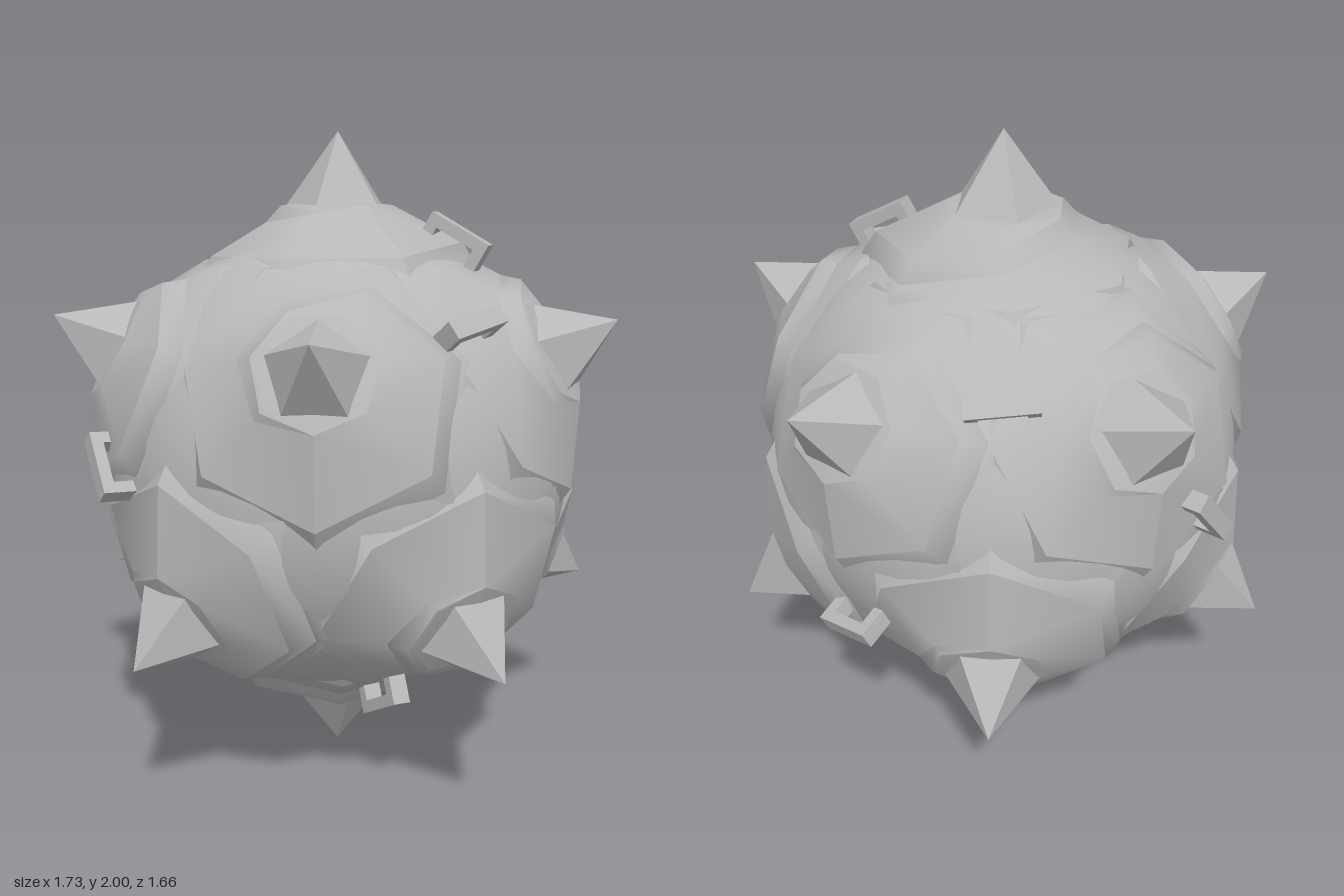
import * as THREE from 'three';

const V = (x, y, z) => new THREE.Vector3(x, y, z);
const SIDES = 7;

// Spiral edge over one turn: distance from the axis and from the ball's centre
const EDGE_R = [0.17, 0.18, 0.18, 0.19, 0.26, 0.34, 0.385, 0.395];
const EDGE_H = [0.80, 0.80, 0.80, 0.80, 0.797, 0.787, 0.775, 0.755];

// Smooth strip between two rows of points; flip reverses the facing
function strip(inner, outer, flip, material, name) {
  const pos = [], index = [];
  inner.forEach((p, i) => pos.push(...p.toArray(), ...outer[i].toArray()));
  for (let i = 0; i < inner.length - 1; i++) {
    const a = 2 * i, b = a + 1, c = a + 2, d = a + 3;
    if (flip) index.push(a, b, c, c, b, d);
    else index.push(a, c, b, c, d, b);
  }
  const g = new THREE.BufferGeometry();
  g.setAttribute('position', new THREE.Float32BufferAttribute(pos, 3));
  g.setIndex(index);
  g.computeVertexNormals();
  const m = new THREE.Mesh(g, material);
  m.name = name;
  return m;
}

// One spiral shell plate with its spike. sign -1 builds the opposite, mirrored one
function makeCap(axis, up, startAngle, tip, sign, material) {
  const cap = new THREE.Group();
  cap.name = 'spiralPlate';
  const right = up.clone().cross(axis);
  const point = (r, a, R) => V(0, 0, 0)
    .addScaledVector(right, r * Math.cos(a))
    .addScaledVector(up, r * Math.sin(a))
    .addScaledVector(axis, Math.sqrt(R * R - r * r))
    .multiplyScalar(sign);

  // Rows from the spike outwards: hub, ring, step edge, step foot, terrace edge, rim
  const hub = [], ring = [], edge = [], foot = [], outer = [], rim = [];
  for (let i = 0; i <= SIDES; i++) {
    const a = startAngle - (i / SIDES) * Math.PI * 2;
    const r = EDGE_R[i], R = EDGE_H[i], k = Math.min(1, i / 2);
    const r2 = Math.max(EDGE_R[SIDES], r + 0.08);
    hub.push(point(0, a, 0.80));
    ring.push(point(EDGE_R[0], a, EDGE_H[0]));
    edge.push(point(r, a, R));
    foot.push(point(r + 0.045 * k, a, R - 0.035 * k));
    outer.push(point(r2, a, EDGE_H[SIDES] - 0.01 * k - 0.2 * (r2 - EDGE_R[SIDES])));
    rim.push(point(r2 + 0.08, a, 0.69));
  }
  const flip = sign < 0;
  cap.add(strip(hub, ring, flip, material, 'plateCentre'));
  cap.add(strip(ring, edge, flip, material, 'plateInner'));
  cap.add(strip(edge, foot, flip, material, 'plateStep'));
  cap.add(strip(foot, outer, flip, material, 'plateTerrace'));
  cap.add(strip(outer, rim, flip, material, 'plateRim'));

  // Five-sided spike with one corner towards the pole
  const base = 0.7, height = tip - base;
  const g = new THREE.ConeGeometry(height * 0.73, height, 5, 1).toNonIndexed();
  g.computeVertexNormals();
  const spike = new THREE.Mesh(g, material);
  spike.name = 'spike';
  const y = axis.clone().multiplyScalar(sign), z = up.clone().multiplyScalar(sign);
  spike.quaternion.setFromRotationMatrix(new THREE.Matrix4().makeBasis(y.clone().cross(z), y, z));
  spike.position.copy(y).multiplyScalar(base + height / 2);
  cap.add(spike);
  return cap;
}

// Staple-shaped handle lying between two surface points
function makeHandle(a, b, material) {
  const handle = new THREE.Group();
  handle.name = 'handle';
  const y = a.clone().add(b).normalize();
  const x = b.clone().sub(a);
  x.addScaledVector(y, -x.dot(y)).normalize();
  const len = 0.2, w = 0.055, thick = 0.035;
  const bar = new THREE.Mesh(new THREE.BoxGeometry(len, thick, w), material);
  bar.name = 'handleBar';
  handle.add(bar);
  for (const s of [-1, 1]) {
    const leg = new THREE.Mesh(new THREE.BoxGeometry(thick, 0.1, w), material);
    leg.name = 'handleLeg';
    leg.position.set(s * (len - thick) / 2, -0.05, 0);
    handle.add(leg);
  }
  handle.quaternion.setFromRotationMatrix(new THREE.Matrix4().makeBasis(x, y, x.clone().cross(y)));
  handle.position.copy(y).multiplyScalar(0.8);
  return handle;
}

export function createModel() {
  const model = new THREE.Group();
  model.name = 'spikedBall';
  const grey = new THREE.MeshStandardMaterial({ color: 0xb8b8b8 });
  grey.name = 'grey';

  const ball = new THREE.Group();
  ball.name = 'ball';
  ball.position.y = 1;
  model.add(ball);

  const core = new THREE.Mesh(new THREE.SphereGeometry(0.73, 48, 32), grey);
  core.name = 'core';
  ball.add(core);

  // Twelve plates: the poles and two rings of five, in opposite pairs
  for (const sign of [1, -1]) {
    ball.add(makeCap(V(0, 1, 0), V(0, 0, -1), -1.3, 1, sign, grey));
    for (let i = 0; i < 5; i++) {
      const az = THREE.MathUtils.degToRad(34.7 + 72 * i);
      const axis = V(0.865 * Math.cos(az), 0.467, 0.865 * Math.sin(az)).normalize();
      const up = V(0, 1, 0).addScaledVector(axis, -axis.y).normalize();
      ball.add(makeCap(axis, up, -Math.PI / 2, 0.983, sign, grey));
    }
  }

  // Handles scattered between the plates, given by their two ends
  const ends = [
    [V(0.24, 0.77, 0.14), V(0.42, 0.64, 0.27)],
    [V(0.15, 0.45, 0.64), V(0.34, 0.48, 0.52)],
    [V(-0.78, 0.14, 0.20), V(-0.68, -0.03, 0.32)],
    [V(0.09, -0.60, 0.48), V(0.03, -0.74, 0.30)],
    [V(0.62, -0.31, -0.38), V(0.53, -0.27, -0.54)],
    [V(0.05, 0.48, -0.62), V(0.26, 0.48, -0.60)],
    [V(-0.36, 0.17, -0.70), V(-0.49, -0.02, -0.62)],
  ];
  for (const [a, b] of ends) ball.add(makeHandle(a, b, grey));
  return model;
}
